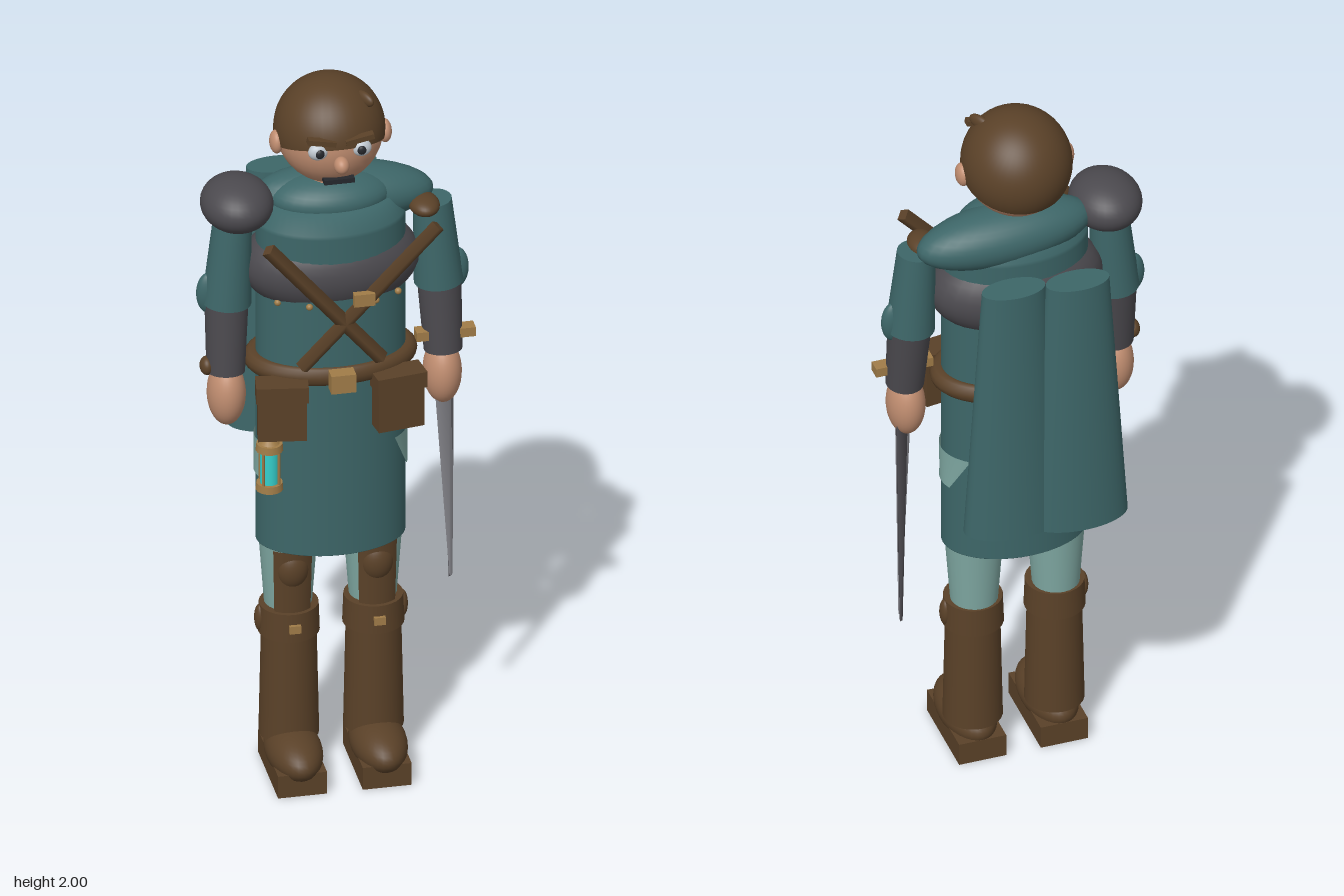
import * as THREE from 'three';

const mat = (name, color, side = THREE.FrontSide) => {
  const m = new THREE.MeshStandardMaterial({ color, side });
  m.name = name;
  return m;
};

export function createModel() {
  const teal = mat('teal cloth', 0x3d6668);
  const pale = mat('pale teal cloth', 0x7fa8a2, THREE.DoubleSide);
  const brown = mat('brown leather and hair', 0x5a4128, THREE.DoubleSide);
  const skin = mat('skin', 0xc08d70);
  const brass = mat('brass', 0xa07c48);
  const iron = mat('dark iron', 0x4b494e);
  const steel = mat('steel', 0x8c8c92);
  const white = mat('eye white', 0xc0c8d0);
  const black = mat('black', 0x25272c);
  const glow = mat('lantern glow', 0x35d0cc);

  const model = new THREE.Group();
  model.name = 'cloakedFighter';

  const add = (name, geo, material, x, y, z, parent = model) => {
    const m = new THREE.Mesh(geo, material);
    m.name = name;
    m.position.set(x, y, z);
    parent.add(m);
    return m;
  };
  const ball = (name, material, x, y, z, rx, ry, rz, parent) => {
    const m = add(name, new THREE.SphereGeometry(1, 32, 20), material, x, y, z, parent);
    m.scale.set(rx, ry, rz);
    return m;
  };
  const box = (name, material, x, y, z, w, h, d, parent) =>
    add(name, new THREE.BoxGeometry(w, h, d), material, x, y, z, parent);
  // Tapered bar between two points
  const bar = (name, material, a, b, rTop, rBottom, sides = 24) => {
    const from = new THREE.Vector3(...a), to = new THREE.Vector3(...b);
    const dir = to.clone().sub(from);
    const mid = from.add(to).multiplyScalar(0.5);
    const m = add(name, new THREE.CylinderGeometry(rBottom, rTop, dir.length(), sides), material, mid.x, mid.y, mid.z);
    m.quaternion.setFromUnitVectors(new THREE.Vector3(0, 1, 0), dir.normalize());
    return m;
  };

  // Robe: an oval column with a narrowed shoulder
  const profile = [[0, 0.67], [0.195, 0.67], [0.195, 0.671], [0.195, 1.6], [0.192, 1.61], [0.16, 1.66], [0, 1.66]];
  const robe = add('robe', new THREE.LatheGeometry(profile.map(p => new THREE.Vector2(...p)), 48), teal, -0.005, 0, 0.06);
  robe.scale.z = 0.667;

  // Breast armour, cowl and neck
  ball('chestArmour', iron, -0.005, 1.475, 0.055, 0.233, 0.135, 0.148);
  ball('cowl', teal, 0.035, 1.65, 0.025, 0.237, 0.08, 0.092).rotation.z = -0.06;
  ball('cowlCollar', teal, -0.005, 1.665, 0.055, 0.16, 0.065, 0.1);
  add('neck', new THREE.CylinderGeometry(0.06, 0.07, 0.12, 24), skin, -0.005, 1.7, 0.045);

  // Head
  const head = new THREE.Group();
  head.name = 'head';
  head.position.set(-0.005, 1.853, 0.045);
  model.add(head);
  ball('face', skin, 0, 0, 0, 0.139, 0.142, 0.145, head);
  const hair = add('hair', new THREE.SphereGeometry(0.147, 40, 24, 0, Math.PI * 2, 0, 1.8), brown, 0, 0, 0, head);
  hair.scale.set(0.98, 1, 1.02);
  hair.rotation.x = -0.32;
  const tuft = ball('hairTuft', brown, 0.08, 0.105, 0.055, 0.013, 0.02, 0.035, head);
  tuft.rotation.y = 0.5;
  ball('nose', skin, 0, -0.028, 0.155, 0.02, 0.023, 0.025, head);
  box('mouth', black, 0, -0.09, 0.115, 0.08, 0.013, 0.03, head);
  for (const s of [-1, 1]) {
    ball('eye', white, s * 0.057, 0.006, 0.132, 0.026, 0.023, 0.018, head);
    ball('pupil', black, s * 0.055, 0.006, 0.146, 0.012, 0.013, 0.008, head);
    box('eyebrow', brown, s * 0.05, 0.039, 0.142, 0.075, 0.014, 0.022, head).rotation.z = s * 0.2;
    ball('ear', skin, s * 0.142, -0.018, 0.015, 0.018, 0.032, 0.028, head);
  }

  // Arms
  for (const s of [-1, 1]) {
    bar('upperArm', teal, [s * 0.262, 1.62, 0.06], [s * 0.278, 1.38, 0.062], 0.05, 0.064);
    ball('elbowPad', teal, s * 0.325, 1.41, 0.06, 0.032, 0.058, 0.022);
    bar('forearm', iron, [s * 0.278, 1.41, 0.062], [s * 0.285, 1.19, 0.085], 0.058, 0.05);
    ball('hand', skin, s * 0.283, 1.125, 0.083, 0.05, 0.09, 0.062);
  }
  ball('pauldron', iron, -0.25, 1.665, 0.056, 0.094, 0.07, 0.111);
  ball('wristKnob', brown, -0.335, 1.21, 0.085, 0.018, 0.025, 0.025);

  // Crossed chest straps with buckle and studs
  bar('chestStrap', brown, [-0.2, 1.605, 0.212], [0.1, 1.245, 0.2], 0.02, 0.02, 4);
  bar('chestStrap', brown, [0.245, 1.625, 0.212], [-0.11, 1.24, 0.2], 0.02, 0.02, 4);
  ball('shoulderStrap', brown, 0.235, 1.62, 0.085, 0.04, 0.025, 0.055);
  box('strapBuckle', brass, 0.05, 1.435, 0.218, 0.055, 0.035, 0.02);
  for (const x of [-0.16, -0.085, 0.09, 0.155])
    ball('stud', brass, x, 1.405, 0.06 + 0.132 * Math.sqrt(1 - (x / 0.2) ** 2), 0.009, 0.009, 0.009);

  // Belt, buckle and pouches
  const belt = add('belt', new THREE.TorusGeometry(0.2, 0.026, 12, 48), brown, -0.005, 1.2, 0.058);
  belt.rotation.x = Math.PI / 2;
  belt.scale.y = 0.66;
  box('beltBuckle', brass, -0.008, 1.202, 0.222, 0.065, 0.052, 0.04);
  for (const s of [-1, 1]) {
    const pouch = new THREE.Group();
    pouch.name = 'pouch';
    pouch.position.set(s * 0.152 - 0.008, 1.12, 0.19);
    pouch.rotation.y = s * 0.15;
    model.add(pouch);
    box('pouchBody', brown, 0, -0.01, 0, 0.125, 0.14, 0.06, pouch);
    box('pouchFlap', brown, 0, 0.058, 0.004, 0.135, 0.045, 0.07, pouch);
  }

  // Curved pale patches on the sides of the robe, narrower at the bottom
  for (const s of [-1, 1]) {
    const geo = new THREE.CylinderGeometry(1, 1, 0.105, 16, 1, true, -1, 2);
    const p = geo.attributes.position;
    for (let i = 0; i < p.count; i++) {
      const a = Math.atan2(p.getX(i), p.getZ(i)) * (p.getY(i) > 0 ? 0.72 : 0.3);
      p.setXYZ(i, s * 0.2 * Math.cos(a), p.getY(i), 0.134 * Math.sin(a));
    }
    geo.computeVertexNormals();
    add('robePatch', geo, pale, -0.005, 0.923, 0.06);
  }

  // Lantern
  const lantern = new THREE.Group();
  lantern.name = 'lantern';
  lantern.position.set(-0.187, 0.945, 0.165);
  model.add(lantern);
  add('lanternGlass', new THREE.CylinderGeometry(0.025, 0.025, 0.1, 16), glow, 0, 0, 0, lantern);
  for (const y of [-0.06, 0.055])
    add('lanternCap', new THREE.CylinderGeometry(0.034, 0.036, 0.02, 16), brass, 0, y, 0, lantern);
  add('lanternTop', new THREE.CylinderGeometry(0.012, 0.028, 0.022, 16), brass, 0, 0.074, 0, lantern);
  add('lanternRing', new THREE.TorusGeometry(0.014, 0.004, 8, 16), brass, 0, 0.093, 0, lantern);
  for (let i = 0; i < 4; i++) {
    const a = Math.PI / 4 + i * Math.PI / 2;
    add('lanternBar', new THREE.CylinderGeometry(0.004, 0.004, 0.11, 6), brass, 0.029 * Math.cos(a), 0, 0.029 * Math.sin(a), lantern);
  }

  // Sword held in the left hand
  bar('swordGrip', brown, [0.285, 1.26, 0.092], [0.288, 1.06, 0.088], 0.02, 0.02, 12);
  box('swordGuard', brass, 0.288, 1.242, 0.093, 0.155, 0.026, 0.036);
  const blade = bar('swordBlade', steel, [0.287, 1.08, 0.092], [0.316, 0.49, 0.035], 0.036, 0.006, 4);
  blade.scale.x = 0.45;
  const spine = bar('swordSpine', iron, [0.296, 1.08, 0.078], [0.317, 0.48, 0.02], 0.034, 0.008, 4);
  spine.scale.x = 0.5;

  // Cape: two overlapping tapered folds
  for (const [x, z] of [[-0.087, -0.195], [0.08, -0.175]]) {
    const fold = add('capeFold', new THREE.CylinderGeometry(0.085, 0.134, 0.75, 40), teal, x, 1.245, z);
    fold.scale.z = 0.52;
  }

  // Legs and boots
  for (const s of [-1, 1]) {
    const leg = new THREE.Group();
    leg.name = 'leg';
    leg.position.set(s * 0.111 - 0.005, 0, 0);
    model.add(leg);
    add('trouserLeg', new THREE.CylinderGeometry(0.078, 0.06, 0.25, 24), pale, 0, 0.575, 0.057, leg);
    add('kneeGuard', new THREE.CylinderGeometry(0.075, 0.069, 0.2, 16, 1, true, -0.75, 1.5), brown, 0, 0.56, 0.062, leg);
    ball('kneeCap', brown, 0, 0.6, 0.105, 0.045, 0.06, 0.04, leg);
    add('bootShaft', new THREE.CylinderGeometry(0.07, 0.078, 0.38, 28), brown, 0, 0.29, 0.068, leg);
    add('bootCuff', new THREE.CylinderGeometry(0.077, 0.08, 0.08, 28), brown, 0, 0.44, 0.066, leg);
    box('bootBuckle', brass, 0, 0.44, 0.146, 0.03, 0.022, 0.014, leg);
    ball('bootSideStrap', brown, s * 0.076, 0.44, 0.066, 0.014, 0.038, 0.02, leg);
    box('bootSole', brown, 0, 0.032, 0.115, 0.128, 0.064, 0.25, leg);
    ball('bootFoot', brown, 0, 0.076, 0.125, 0.073, 0.062, 0.138, leg);
  }
  return model;
}
